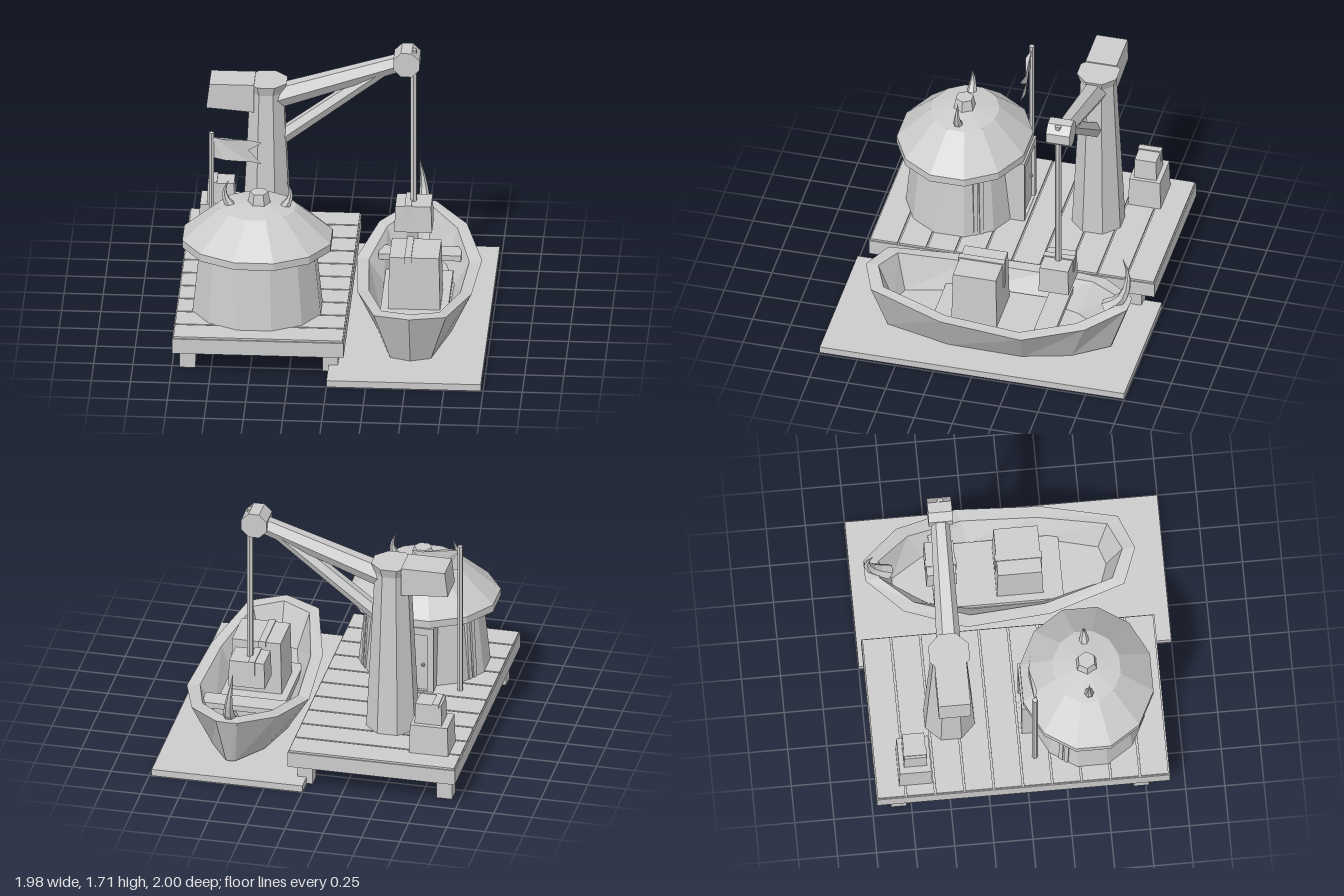
import * as THREE from 'three';

export function createModel() {
  const model = new THREE.Group();
  const grey = new THREE.MeshStandardMaterial({ color: 0xcccccc, side: THREE.DoubleSide });
  grey.name = 'plain grey';

  // Faceted mesh: split faces so every facet gets its own normal
  const add = (name, geo, x = 0, y = 0, z = 0, parent = model) => {
    const g = geo.index ? geo.toNonIndexed() : geo;
    g.computeVertexNormals();
    const m = new THREE.Mesh(g, grey);
    m.name = name;
    m.position.set(x, y, z);
    parent.add(m);
    return m;
  };
  const points = pts => pts.map(p => new THREE.Vector2(...p));
  // Box from its minimum and maximum corners
  const block = (name, x0, x1, y0, y1, z0, z1) =>
    add(name, new THREE.BoxGeometry(x1 - x0, y1 - y0, z1 - z0), (x0 + x1) / 2, (y0 + y1) / 2, (z0 + z1) / 2);
  // Straight tapered beam between two points
  const beam = (name, a, b, r0, r1, sides) => {
    const p = new THREE.Vector3(...a), d = new THREE.Vector3(...b).sub(p);
    const m = add(name, new THREE.CylinderGeometry(r1, r0, d.length(), sides));
    m.position.copy(p).addScaledVector(d, 0.5);
    m.quaternion.setFromUnitVectors(new THREE.Vector3(0, 1, 0), d.normalize());
    return m;
  };
  // Curved horn: tube shrunk towards its path at the tip
  const horn = (name, pts, r) => {
    const curve = new THREE.CatmullRomCurve3(pts.map(p => new THREE.Vector3(...p)));
    const n = 6, sides = 6;
    const g = new THREE.TubeGeometry(curve, n, r, sides);
    const v = new THREE.Vector3(), pos = g.attributes.position;
    for (let i = 0; i < pos.count; i++) {
      const t = Math.floor(i / (sides + 1)) / n;
      v.fromBufferAttribute(pos, i).lerp(curve.getPointAt(t), Math.min(0.97, t));
      pos.setXYZ(i, v.x, v.y, v.z);
    }
    return add(name, g);
  };
  // Crate with slightly narrower top and an optional strap round it
  const crate = (name, x0, x1, y0, y1, z0, z1, strapX) => {
    const g = new THREE.BoxGeometry(x1 - x0, y1 - y0, z1 - z0), pos = g.attributes.position;
    for (let i = 0; i < pos.count; i++) if (pos.getY(i) > 0) {
      pos.setX(i, pos.getX(i) * 0.95);
      pos.setZ(i, pos.getZ(i) * 0.95);
    }
    add(name, g, (x0 + x1) / 2, (y0 + y1) / 2, (z0 + z1) / 2);
    if (strapX !== undefined)
      block(name + 'Strap', strapX - 0.022, strapX + 0.022, (y0 + y1) / 2, y1 + 0.008, z0 - 0.002, z1 + 0.002);
  };

  // Water slab: a shell open underneath
  const shell = new THREE.BoxGeometry(0.985, 0.045, 2);
  shell.setIndex([...shell.index.array].filter((v, i) => i < 18 || i >= 24));
  add('water', shell, 0.4925, 0.0225, 0);

  // Dock
  block('dockBase', -0.99, 0.103, 0.16, 0.262, -0.975, 0.9);
  const pitch = 0.187;
  for (let i = 0; i < 10; i++)
    block('plank', -0.983, 0.096, 0.25, 0.275, -0.968 + i * pitch, -0.979 + (i + 1) * pitch);
  for (const x of [-0.9, 0.01]) for (const z of [-0.83, 0.72])
    block('dockLeg', x - 0.05, x + 0.05, 0, 0.17, z - 0.05, z + 0.05);

  // Hut: twelve-sided, slightly shallower in depth
  const hut = new THREE.Group();
  hut.name = 'hut';
  hut.position.set(-0.475, 0, 0.414);
  hut.scale.z = 0.88;
  model.add(hut);
  const lathe = (name, pts) => {
    const g = new THREE.LatheGeometry(points(pts), 12);
    g.rotateY(Math.PI / 12);
    return add(name, g, 0, 0, 0, hut);
  };
  lathe('hutWall', [[0, 0.27], [0.424, 0.27], [0.375, 0.74]]);
  lathe('hutRoof', [[0, 0.73], [0.49, 0.73], [0.49, 0.78], [0.25, 0.985], [0, 1.025]]);
  const finial = new THREE.CylinderGeometry(0.058, 0.078, 0.1, 6);
  finial.rotateY(Math.PI / 6);
  add('roofFinial', finial, -0.465, 1.035, 0.414);
  for (const s of [-1, 1]) {
    const X = d => -0.475 + s * d;
    horn('roofHorn', [[X(0.165), 0.97, 0.414], [X(0.205), 1.04, 0.414], [X(0.21), 1.09, 0.414], [X(0.185), 1.16, 0.414]], 0.036);
    // Paired wall boards on the rear diagonal facets
    const boards = new THREE.Group();
    boards.name = 'wallBoards';
    boards.rotation.y = s > 0 ? Math.PI / 6 : Math.PI * 5 / 6;
    hut.add(boards);
    for (const off of [-0.022, 0.022]) {
      const b = add('wallBoard', new THREE.BoxGeometry(0.035, 0.46, 0.03), 0.385, 0.5, off, boards);
      b.rotation.z = 0.06;
    }
  }

  // Door on the back of the hut
  const frame = new THREE.Shape(points([[-0.155, 0], [0.155, 0], [0.155, 0.46], [-0.155, 0.46]]));
  frame.holes.push(new THREE.Path(points([[-0.115, 0.01], [-0.115, 0.41], [0.115, 0.41], [0.115, 0.01]])));
  add('doorFrame', new THREE.ExtrudeGeometry(frame, { depth: 0.14, bevelEnabled: false }), -0.475, 0.27, -0.015);
  block('door', -0.595, -0.355, 0.275, 0.685, 0.005, 0.1);
  add('doorKnob', new THREE.IcosahedronGeometry(0.014), -0.56, 0.46, 0);

  // Flag: thin rippled cloth with a notched end
  beam('flagPole', [-0.79, 0.27, 0.055], [-0.79, 1.32, 0.055], 0.018, 0.018, 6);
  const cloth = new THREE.ShapeGeometry(new THREE.Shape(points([[-0.79, 1.29], [-0.79, 1.145], [-0.71, 1.135],
    [-0.63, 1.12], [-0.55, 1.11], [-0.472, 1.105], [-0.555, 1.19], [-0.47, 1.255], [-0.55, 1.26], [-0.63, 1.27], [-0.71, 1.28]])));
  const cp = cloth.attributes.position;
  for (let i = 0; i < cp.count; i++) cp.setZ(i, 0.055 + 0.02 * Math.sin((cp.getX(i) + 0.79) / 0.32 * Math.PI * 2));
  add('flag', cloth);

  // Crane
  const tower = new THREE.LatheGeometry(points([[0, 0.27], [0.172, 0.27], [0.117, 1.385], [0.14, 1.45], [0, 1.45]]), 8);
  tower.rotateY(Math.PI / 8);
  add('craneTower', tower, -0.468, 0, -0.465);
  const weight = new THREE.Shape(points([[-0.83, 1.457], [-0.85, 1.29], [-0.545, 1.265], [-0.545, 1.457]]));
  add('counterweight', new THREE.ExtrudeGeometry(weight, { depth: 0.205, bevelEnabled: false }), 0, 0, -0.565);
  beam('craneBoom', [-0.46, 1.32, -0.46], [0.42, 1.62, -0.445], 0.08, 0.058, 6);
  beam('craneBrace', [-0.42, 1.02, -0.46], [0.26, 1.545, -0.45], 0.054, 0.047, 6);
  const hub = new THREE.CylinderGeometry(0.09, 0.09, 0.155, 8);
  hub.rotateY(Math.PI / 8);
  hub.rotateX(Math.PI / 2);
  add('boomPulley', hub, 0.427, 1.625, -0.443);
  beam('craneRope', [0.47, 0.62, -0.437], [0.47, 1.705, -0.437], 0.022, 0.022, 6);
  crate('hangingCrate', 0.352, 0.592, 0.455, 0.635, -0.535, -0.338, 0.44);

  // Crates stacked on the dock
  crate('lowerDockCrate', -0.912, -0.655, 0.27, 0.475, -0.825, -0.612);
  crate('upperDockCrate', -0.862, -0.685, 0.475, 0.615, -0.79, -0.642, -0.82);

  // Boat: closed rings lofted from keel to rim to inner floor
  const ring = pts => [...pts, ...pts.slice(1, -1).reverse().map(([x, y, z]) => [-x, y, z])];
  const rim = [[0, 0.4, 0.815], [0.23, 0.38, 0.725], [0.365, 0.312, 0.24], [0.4, 0.29, -0.3], [0.28, 0.355, -0.69], [0.07, 0.4, -0.915], [0, 0.4, -0.92]];
  const keel = [[0, 0.045, 0.685], [0.13, 0.045, 0.64], [0.235, 0.033, 0.22], [0.245, 0.033, -0.27], [0.17, 0.05, -0.58], [0.03, 0.06, -0.8], [0, 0.06, -0.805]];
  const inner = rim.map(([x, y, z]) => [x * 0.8, y, z * 0.9]);
  const floor = keel.map(([x, , z]) => [x * 0.92, 0.14, z * 0.92]);
  const fill = y => keel.map(() => [0, y, -0.05]);
  const rings = [fill(0.06), keel, rim, inner, floor, fill(0.14)].map(ring);
  const verts = [];
  for (let r = 0; r + 1 < rings.length; r++) {
    const a = rings[r], b = rings[r + 1];
    for (let i = 0; i < a.length; i++) {
      const j = (i + 1) % a.length;
      if (r > 0) verts.push(...a[i], ...a[j], ...b[j]);
      if (r < rings.length - 2) verts.push(...a[i], ...b[j], ...b[i]);
    }
  }
  const hull = new THREE.BufferGeometry();
  hull.setAttribute('position', new THREE.Float32BufferAttribute(verts, 3));
  add('boatHull', hull, 0.515, 0, 0);
  block('boatDeck', 0.297, 0.727, 0.13, 0.18, -0.36, 0.34);
  block('boatBench', 0.25, 0.777, 0.25, 0.288, -0.49, -0.355);
  crate('boatCrate', 0.345, 0.678, 0.175, 0.54, -0.085, 0.213, 0.472);
  horn('sternHorn', [[0.515, 0.35, -0.765], [0.513, 0.42, -0.855], [0.505, 0.54, -0.9], [0.49, 0.64, -0.895], [0.485, 0.725, -0.865]], 0.052);

  return model;
}
